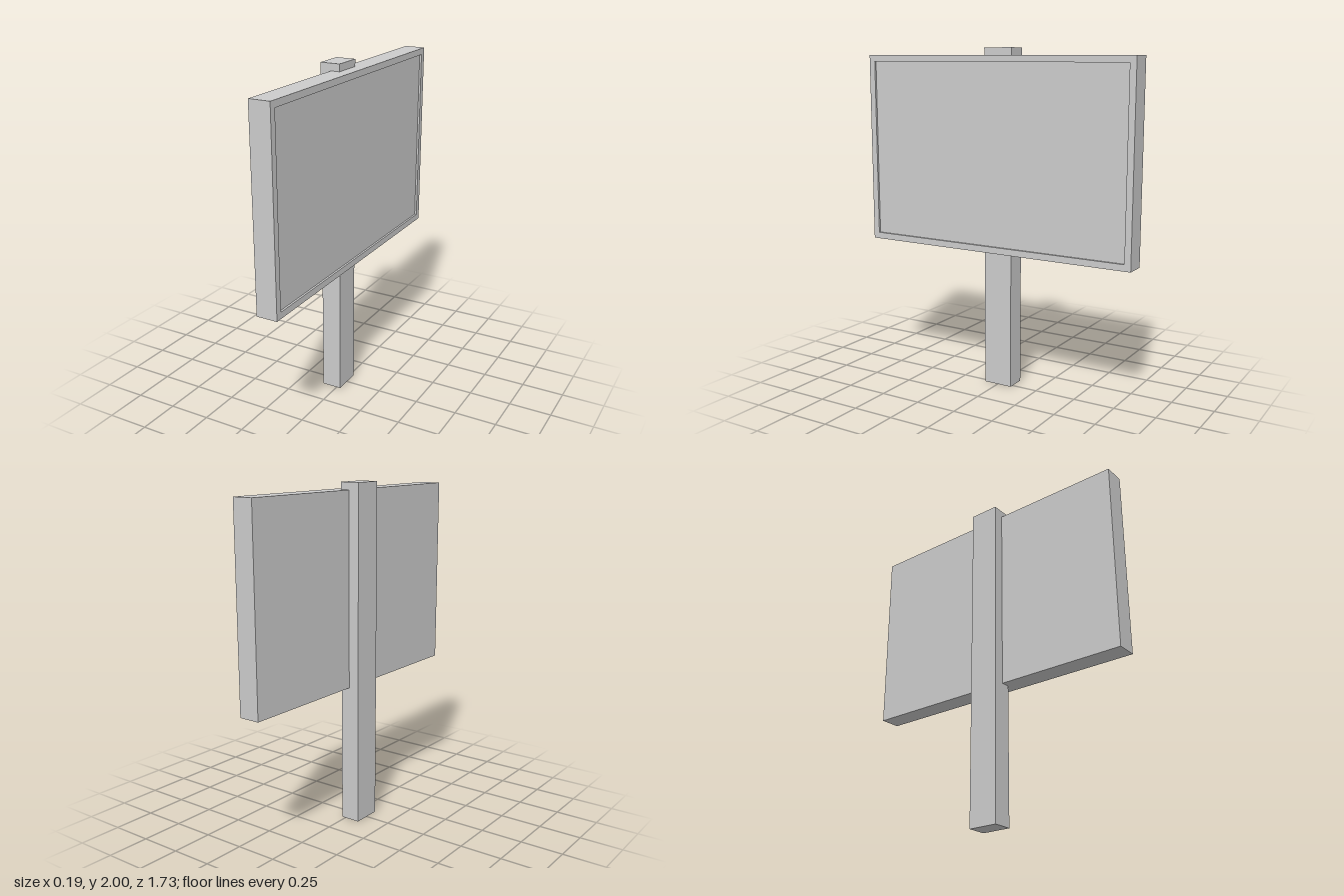
import * as THREE from 'three';

const material = new THREE.MeshStandardMaterial({ color: 0xcccccc, flatShading: true });

// Box given by its lower and upper corners
function box(name, [x0, y0, z0], [x1, y1, z1]) {
  const mesh = new THREE.Mesh(new THREE.BoxGeometry(x1 - x0, y1 - y0, z1 - z0), material);
  mesh.name = name;
  mesh.position.set((x0 + x1) / 2, (y0 + y1) / 2, (z0 + z1) / 2);
  return mesh;
}

function rectangle(target, halfW, halfH) {
  target.moveTo(-halfW, -halfH);
  target.lineTo(halfW, -halfH);
  target.lineTo(halfW, halfH);
  target.lineTo(-halfW, halfH);
  target.closePath();
  return target;
}

export function createModel() {
  const model = new THREE.Group();
  model.name = 'signboard';

  const bottom = 0.825, top = 1.958, halfW = 0.866;
  const back = -0.03, front = 0.094;
  const border = 0.038, recess = 0.012;
  const halfH = (top - bottom) / 2;

  // Square-cut post, let into the back of the board
  model.add(box('post', [-0.094, 0, -0.089], [0.024, 2, 0.089]));

  // Frame around the board, open in the middle and facing +x
  const outline = rectangle(new THREE.Shape(), halfW, halfH);
  outline.holes.push(rectangle(new THREE.Path(), halfW - border, halfH - border));
  const frame = new THREE.Mesh(
    new THREE.ExtrudeGeometry(outline, { depth: front - back, bevelEnabled: false }), material);
  frame.name = 'frame';
  frame.rotation.y = Math.PI / 2;
  frame.position.set(back, (bottom + top) / 2, 0);
  model.add(frame);

  // Slightly recessed display panel filling the frame
  model.add(box('panel',
    [back, bottom + border, -halfW + border],
    [front - recess, top - border, halfW - border]));

  return model;
}
